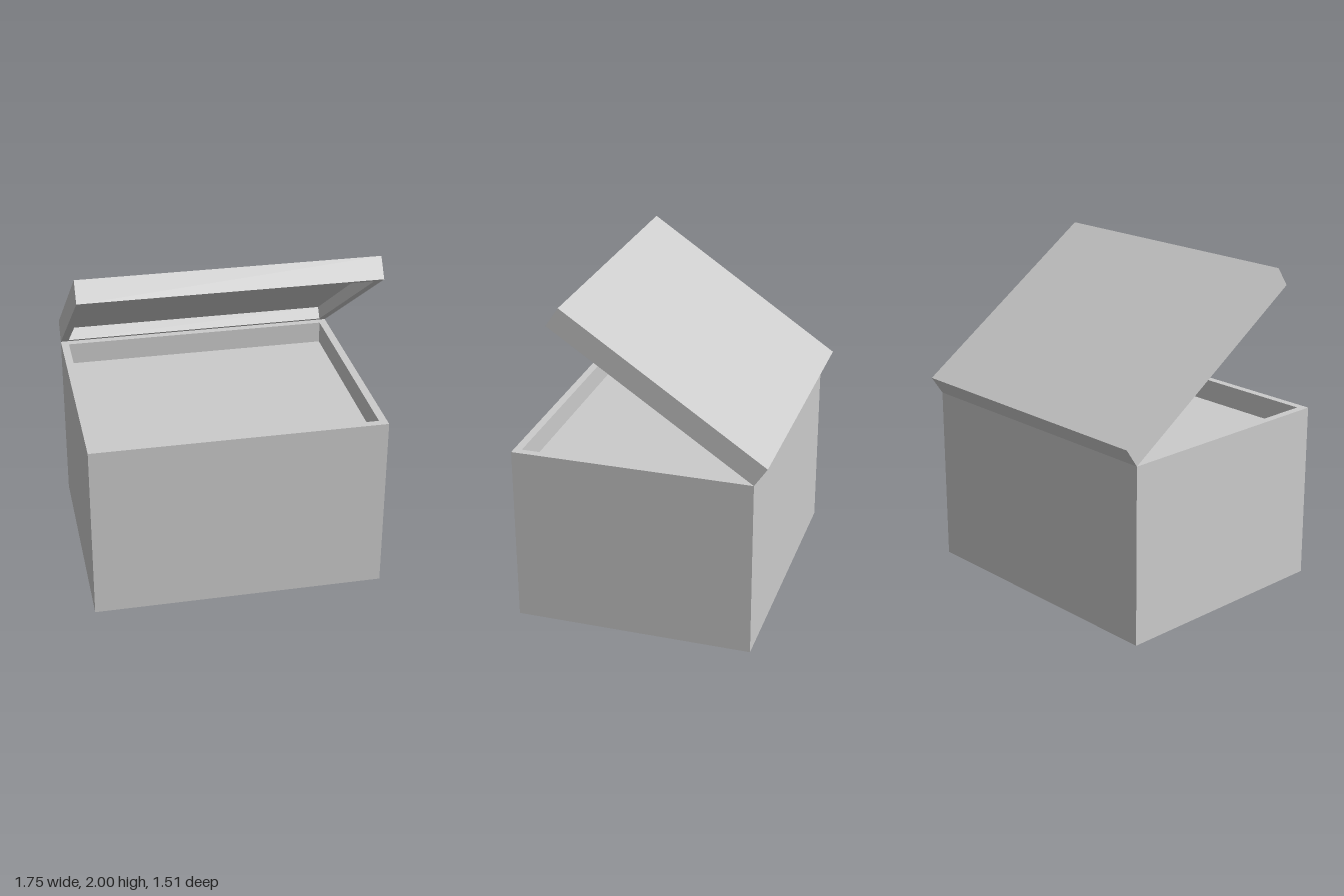
import * as THREE from 'three';

const WIDTH = 1.745, DEPTH = 1.435, RIM = 0.047;
const BODY_HEIGHT = 1.085, LID_HEIGHT = 0.135;

// Open rectangular tray: outer wall, flat rim, inner wall and inner floor.
function trayGeometry(height, floorY) {
  const rings = [[0, 0], [0, height], [RIM, height], [RIM, floorY]];
  const corners = [[1, 1], [1, -1], [-1, -1], [-1, 1]];
  const point = (k, i) => {
    const [inset, y] = rings[k], [sx, sz] = corners[i % 4];
    return [sx * (WIDTH / 2 - inset), y, sz * (DEPTH / 2 - inset)];
  };
  const positions = [];
  const quad = (a, b, c, d) => positions.push(...a, ...b, ...c, ...a, ...c, ...d);

  quad(point(0, 3), point(0, 2), point(0, 1), point(0, 0)); // underside
  for (let k = 0; k < rings.length - 1; k++) {
    for (let i = 0; i < 4; i++) {
      quad(point(k, i), point(k, i + 1), point(k + 1, i + 1), point(k + 1, i));
    }
  }
  quad(point(3, 0), point(3, 1), point(3, 2), point(3, 3)); // inner floor

  const geometry = new THREE.BufferGeometry();
  geometry.setAttribute('position', new THREE.Float32BufferAttribute(positions, 3));
  geometry.computeVertexNormals();
  return geometry;
}

export function createModel() {
  const model = new THREE.Group();
  model.name = 'openBox';
  const material = new THREE.MeshStandardMaterial({ color: 0xcccccc, flatShading: true });

  // Body with a shallow recess in its top
  const body = new THREE.Mesh(trayGeometry(BODY_HEIGHT, 0.948), material);
  body.name = 'boxBody';
  body.position.z = 0.0375;
  model.add(body);

  // Lid: a shallow tray turned over, swung open about the body's back top edge
  const lidGeometry = trayGeometry(LID_HEIGHT, 0.058);
  lidGeometry.rotateZ(Math.PI);
  lidGeometry.translate(0, LID_HEIGHT, DEPTH / 2);
  const lid = new THREE.Mesh(lidGeometry, material);
  lid.name = 'lid';

  const hinge = new THREE.Group();
  hinge.name = 'lidHinge';
  hinge.position.set(0, BODY_HEIGHT, -0.68);
  hinge.rotation.x = -THREE.MathUtils.degToRad(34);
  hinge.add(lid);
  model.add(hinge);

  return model;
}
